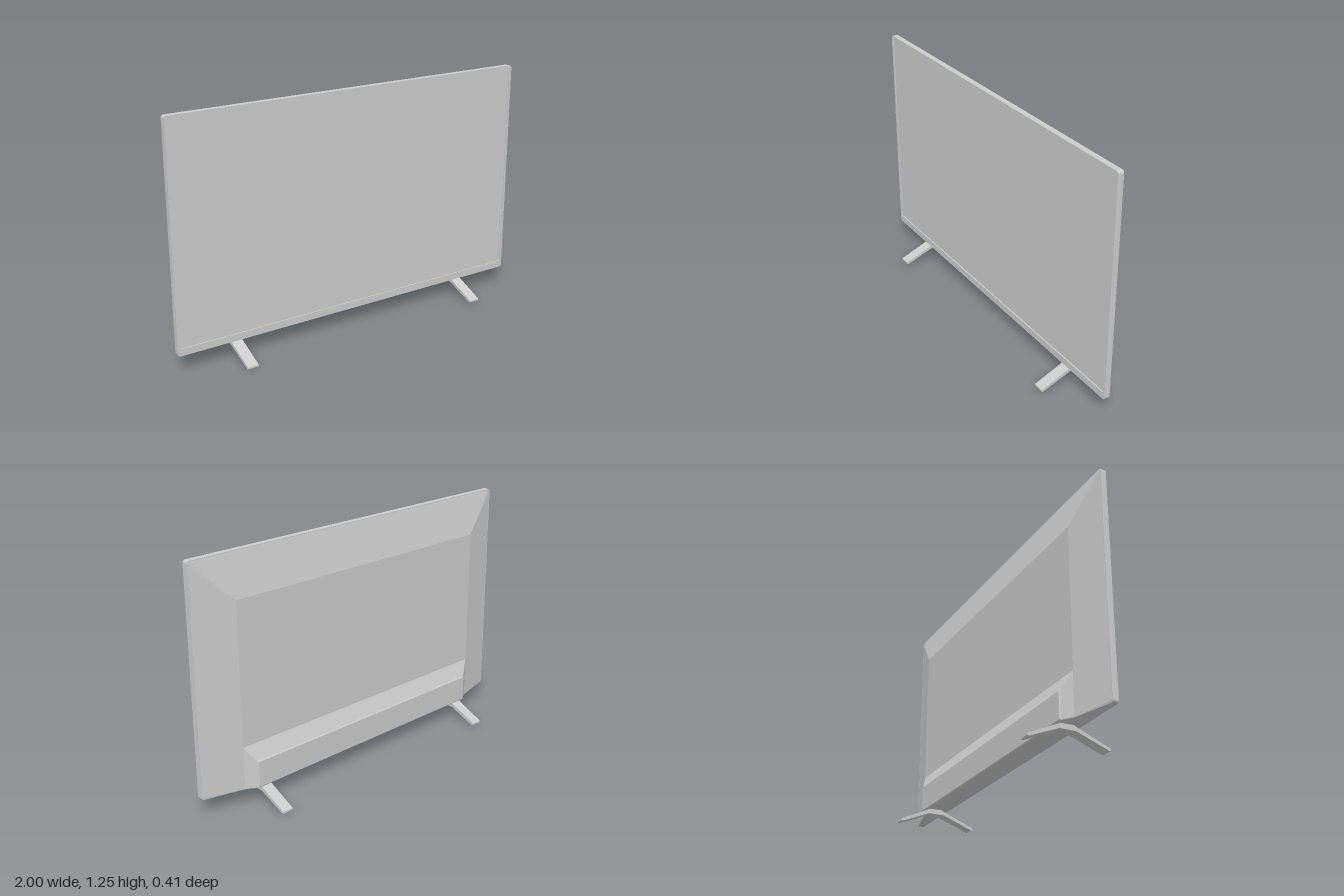
import * as THREE from 'three';

const material = new THREE.MeshStandardMaterial({ color: 0xcccccc });

// Rectangle with clipped corners, counter-clockwise seen from the front
function clippedLoop(halfWidth, bottom, top, z, c) {
  const w = halfWidth;
  return [
    [w, bottom + c], [w, top - c], [w - c, top], [-w + c, top],
    [-w, top - c], [-w, bottom + c], [-w + c, bottom], [w - c, bottom],
  ].map(([x, y]) => [x, y, z]);
}

// Closed, faceted loft through loops ordered from front to back
function loft(loops) {
  const pos = [];
  const tri = (a, b, c) => pos.push(...a, ...b, ...c);
  const n = loops[0].length;
  for (let k = 0; k < loops.length - 1; k++) {
    const a = loops[k], b = loops[k + 1];
    for (let i = 0; i < n; i++) {
      const j = (i + 1) % n;
      tri(a[i], b[i], b[j]);
      tri(a[i], b[j], a[j]);
    }
  }
  const front = loops[0], back = loops[loops.length - 1];
  for (let i = 1; i < n - 1; i++) {
    tri(front[0], front[i], front[i + 1]);
    tri(back[0], back[i + 1], back[i]);
  }
  const g = new THREE.BufferGeometry();
  g.setAttribute('position', new THREE.Float32BufferAttribute(pos, 3));
  g.computeVertexNormals();
  return g;
}

function roundedRect(path, x0, y0, x1, y1, r) {
  path.moveTo(x0 + r, y0);
  path.lineTo(x1 - r, y0);
  path.quadraticCurveTo(x1, y0, x1, y0 + r);
  path.lineTo(x1, y1 - r);
  path.quadraticCurveTo(x1, y1, x1 - r, y1);
  path.lineTo(x0 + r, y1);
  path.quadraticCurveTo(x0, y1, x0, y1 - r);
  path.lineTo(x0, y0 + r);
  path.quadraticCurveTo(x0, y0, x0 + r, y0);
  return path;
}

export function createModel() {
  const model = new THREE.Group();
  const add = (name, geometry) => {
    const mesh = new THREE.Mesh(geometry, material);
    mesh.name = name;
    model.add(mesh);
    return mesh;
  };

  // Thin bezel around the screen, deeper along the bottom
  const outline = roundedRect(new THREE.Shape(), -1, 0.088, 1, 1.246, 0.015);
  outline.holes.push(roundedRect(new THREE.Path(), -0.988, 0.125, 0.988, 1.235, 0.002));
  const bezel = new THREE.ExtrudeGeometry(outline, { depth: 0.03, bevelEnabled: false, curveSegments: 5 });
  add('bezel', bezel.translate(0, 0, 0.032));

  // Screen panel set slightly back
  add('screen', new THREE.BoxGeometry(1.976, 1.11, 0.022).translate(0, 0.68, 0.045));

  // Back shell tapering on the top and sides
  add('backShell', loft([
    clippedLoop(1, 0.088, 1.246, 0.033, 0.01),
    clippedLoop(0.79, 0.088, 1.035, -0.02, 0.002),
  ]));

  // Deeper housing along the lower back
  add('lowerHousing', loft([
    clippedLoop(0.79, 0.088, 0.31, -0.019, 0.002),
    clippedLoop(0.735, 0.088, 0.232, -0.055, 0.003),
    clippedLoop(0.73, 0.094, 0.226, -0.06, 0.003),
  ]));

  // Splayed feet: bent strip profile (z, y) extruded across the width
  const profile = new THREE.Shape([
    [0.207, 0.003], [0.207, 0.012], [0.035, 0.082], [0.025, 0.088], [-0.045, 0.088], [-0.055, 0.082],
    [-0.207, 0.012], [-0.207, 0.003], [-0.2, 0], [-0.05, 0.062], [0.035, 0.062], [0.2, 0],
  ].map(([z, y]) => new THREE.Vector2(-z, y)));
  for (const [name, x] of [['leftFoot', 0.683], ['rightFoot', -0.683]]) {
    const foot = new THREE.ExtrudeGeometry(profile, { depth: 0.058, bevelEnabled: false });
    add(name, foot.translate(0, 0, -0.029).rotateY(Math.PI / 2)).position.x = x;
  }

  return model;
}
